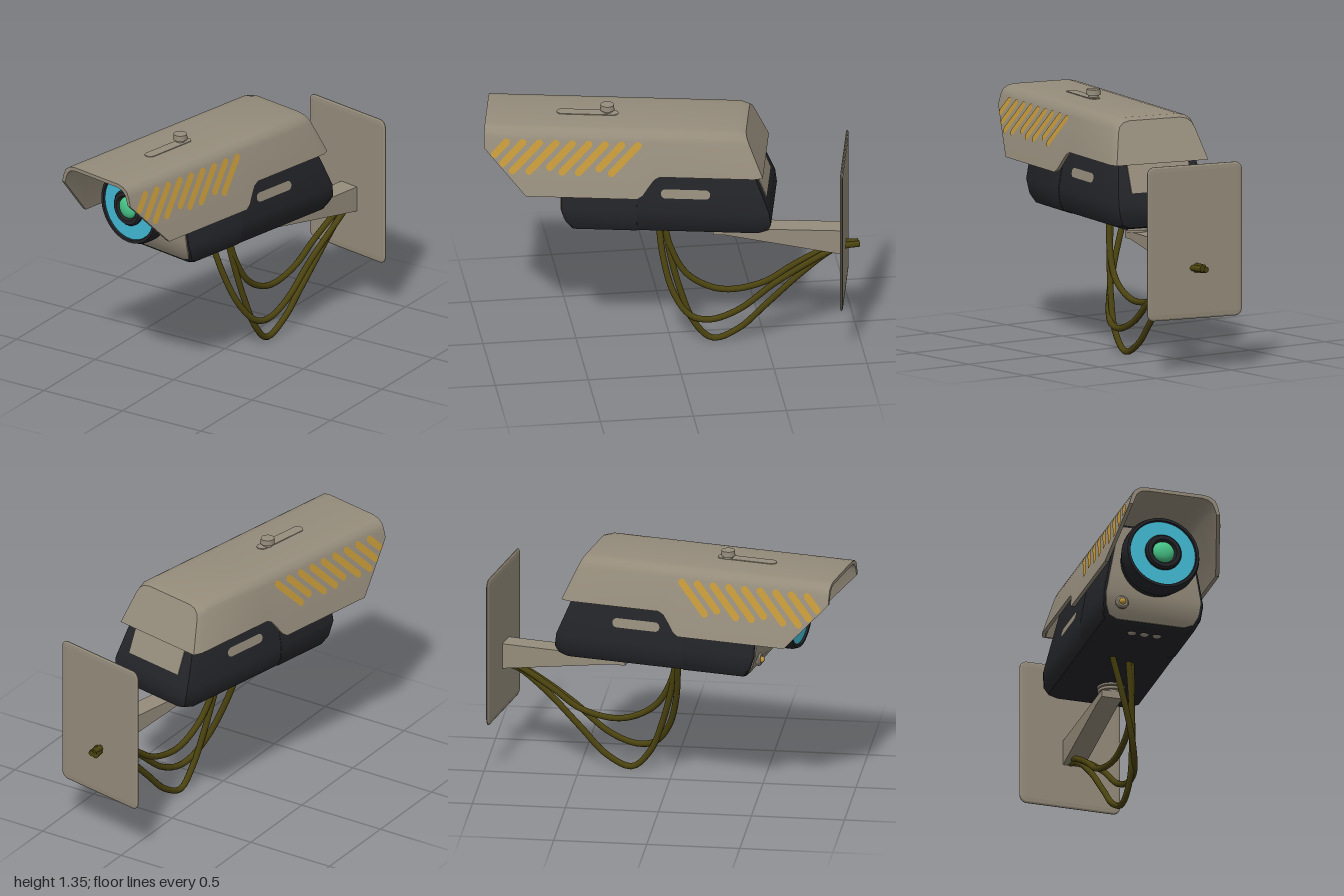
import * as THREE from 'three';
import { toCreasedNormals } from 'three/addons/utils/BufferGeometryUtils.js';

const mat = (name, color, side = THREE.FrontSide) => {
  const m = new THREE.MeshStandardMaterial({ color, side });
  m.name = name;
  return m;
};

// Closed rings of [x, y, z], counter-clockwise from the front, ordered back to front.
// Every ring is mirror-symmetric, so each cap is a strip joining point i to its twin.
function loft(rings) {
  const n = rings[0].length, idx = [];
  const quad = (a, b, c, d) => idx.push(a, b, c, a, c, d);
  for (let k = 0; k < rings.length - 1; k++)
    for (let i = 0; i < n; i++) {
      const j = (i + 1) % n;
      quad(k * n + i, k * n + j, (k + 1) * n + j, (k + 1) * n + i);
    }
  const f = (rings.length - 1) * n;
  for (let i = 0; i < n / 2 - 1; i++) {
    quad(f + i, f + i + 1, f + n - 2 - i, f + n - 1 - i);
    quad(n - 1 - i, n - 2 - i, i + 1, i);
  }
  const g = new THREE.BufferGeometry();
  g.setAttribute('position', new THREE.Float32BufferAttribute(rings.flat(2), 3));
  g.setIndex(idx);
  return toCreasedNormals(g, 0.6);
}

// Right half of a section (bottom to top) plus its mirror image
const mirrored = half => [...half, ...half.map(([x, y]) => [-x, y]).reverse()];

// Flat shape with round ends
function capsule(x0, y0, x1, y1, r) {
  const a = Math.atan2(y1 - y0, x1 - x0), q = Math.PI / 2, s = new THREE.Shape();
  s.absarc(x1, y1, r, a - q, a + q);
  s.absarc(x0, y0, r, a + q, a + 3 * q);
  return s;
}

export function createModel() {
  const tan = mat('warm grey paint', 0x958c7b);
  const black = mat('black housing', 0x242529);
  const yellow = mat('warning yellow', 0xc4983a, THREE.DoubleSide);
  const cyan = mat('cyan ring', 0x42bad4);
  const green = mat('green lens', 0x48c88a);
  const olive = mat('olive cable', 0x4a420f);
  const trim = mat('warm grey inlay', 0x958c7b, THREE.DoubleSide);

  const model = new THREE.Group();
  const unit = new THREE.Group(); // camera and mount, turned a little to the side
  unit.name = 'cameraUnit';
  unit.rotation.y = -0.192;
  model.add(unit);
  const add = (parent, name, geo, m, x = 0, y = 0, z = 0) => {
    const o = new THREE.Mesh(geo, m);
    o.name = name;
    o.position.set(x, y, z);
    parent.add(o);
    return o;
  };
  // Thin decal drawn in (z, y) and laid on a sloping side wall
  const decal = (parent, name, shape, m, wall, s) => {
    const g = new THREE.ShapeGeometry(shape, 6), p = g.attributes.position;
    for (let i = 0; i < p.count; i++) p.setXYZ(i, s * wall(p.getY(i)), p.getY(i), p.getX(i));
    if (s > 0) g.setIndex([...g.index.array].reverse());
    g.computeVertexNormals();
    add(parent, name, g, m);
  };

  // Housing body
  const section = mirrored([[0.2, 0.72], [0.25, 0.738], [0.274, 0.785], [0.28, 0.86],
    [0.255, 1.0], [0.21, 1.24], [0.18, 1.27]]);
  const scaled = s => section.map(([x, y]) => [x * s, 0.995 + (y - 0.995) * s]);
  const rear = y => (y > 0.82 ? -0.57 + (y - 0.82) * 0.4 : -0.57 + (0.82 - y) * 0.35);
  const front = y => 0.56 - Math.max(0, 0.83 - y) * 0.6;
  const at = (sec, z) => sec.map(([x, y]) => [x, y, z(y)]);
  add(unit, 'housing', loft([at(scaled(0.95), rear), at(section, y => rear(y) + 0.05),
    at(section, () => 0.16)]), black);
  add(unit, 'frontHousing', loft([at(scaled(1.008), () => 0.155), at(scaled(1.008), y => front(y) - 0.01),
    at(scaled(0.985), front)]), black);
  add(unit, 'facePlate', loft([at(scaled(0.94), y => front(y) - 0.003), at(scaled(0.94), y => front(y) + 0.006)]), tan);
  const panel = mirrored([[0.18, 0.92], [0.18, 1.12]]);
  add(unit, 'rearPanel', loft([at(panel, y => rear(y) - 0.005), at(panel, y => rear(y) + 0.003)]), tan);
  const bodyWall = y => 0.284 - (y - 0.86) * 0.183;
  for (const s of [1, -1]) decal(unit, 'sideSlot', capsule(-0.212, 0.965, 0.002, 0.965, 0.025), trim, bodyWall, s);
  for (const x of [-0.07, 0, 0.07]) {
    const lamp = add(unit, 'undersideLamp', new THREE.SphereGeometry(0.025, 16, 10), tan, x, 0.718, 0.4);
    lamp.scale.set(1, 0.5, 0.8);
  }

  // Lens barrel, ring and dome
  const turned = (pts, seg = 48) => toCreasedNormals(
    new THREE.LatheGeometry(pts.map(p => new THREE.Vector2(...p)), seg).rotateX(Math.PI / 2), 0.6);
  const lens = new THREE.Group();
  lens.name = 'lens';
  lens.position.y = 1.052;
  unit.add(lens);
  add(lens, 'lensBarrel', turned([[0.185, 0.5], [0.185, 0.61], [0.2, 0.62], [0.21, 0.66], [0.21, 0.71],
    [0.2, 0.74], [0.185, 0.74], [0.18, 0.725], [0, 0.725]]), black);
  add(lens, 'lightRing', new THREE.RingGeometry(0.098, 0.181, 48), cyan, 0, 0, 0.73);
  add(lens, 'innerRing', turned([[0.1, 0.725], [0.1, 0.745], [0.09, 0.757], [0.07, 0.757], [0.06, 0.74], [0, 0.74]]), black);
  add(lens, 'lensDome', new THREE.SphereGeometry(0.06, 32, 16), green, 0, 0, 0.74).scale.z = 0.5;

  // Indicator on the face plate
  add(unit, 'indicatorBezel', turned([[0.036, 0], [0.036, 0.012], [0.028, 0.02], [0, 0.02]], 24), tan, -0.174, 0.815, 0.55);
  add(unit, 'indicatorLight', new THREE.SphereGeometry(0.018, 16, 10), yellow, -0.174, 0.815, 0.57);

  // Sun hood: a folded sheet whose lower edge changes along its length
  const hood = new THREE.Group();
  hood.name = 'hood';
  hood.position.x = -0.01;
  unit.add(hood);
  const hoodWall = y => 0.24 + (1.25 - y) * 0.267;
  const outer = low => mirrored([[hoodWall(low), low], [0.24, 1.25], [0.227, 1.278], [0.2, 1.298], [0.16, 1.306]]);
  const inner = low => mirrored([[hoodWall(low) - 0.02, low], [0.22, 1.24], [0.209, 1.262], [0.189, 1.279], [0.155, 1.286]]);
  const sheet = low => [...outer(low), ...inner(low).reverse()];
  const slope = z => y => z - (1.306 - y) * 0.43;
  const shrink = sec => sec.map(([x, y]) => [x * 0.94, y > 1.2 ? y - 0.012 : y]);
  const stations = [[0.03, 1.07], [0.06, 1.055], [0.09, 1.015], [0.12, 0.97], [0.15, 0.95],
    [0.745, 0.95], [0.86, 1.075], [0.974, 1.2]];
  add(hood, 'hoodShell', loft([
    at(shrink(sheet(1.07)), slope(-0.415)), at(sheet(1.07), slope(-0.37)),
    ...stations.map(([z, low]) => at(sheet(low), () => z))]), tan);
  add(hood, 'hoodBack', loft([at(shrink(outer(1.07)), slope(-0.416)), at(shrink(outer(1.07)), slope(-0.405))]), tan);

  // Warning stripes on both hood sides, cut short at the slanted front edge
  for (const s of [1, -1])
    for (let i = 0; i < 9; i++) {
      const zc = 0.22 + 0.088 * i, t = Math.max(0, (zc - 0.765) / 0.284);
      const low = i % 3 === 1 ? Math.max(t, 0.15) : t;
      decal(hood, 'warningStripe', capsule(zc + 0.07 - 0.14 * low, 1.085 + 0.15 * low, zc - 0.07, 1.235, 0.019),
        yellow, y => hoodWall(y) + 0.004, s);
    }

  // Adjustment slot and knob on top of the hood
  const slot = new THREE.ExtrudeGeometry(capsule(0, -0.57, 0, -0.3, 0.03), { depth: 0.006, bevelEnabled: false });
  add(hood, 'topSlot', slot.rotateX(-Math.PI / 2), tan, 0.01, 1.304, 0);
  add(hood, 'knobStem', new THREE.CylinderGeometry(0.026, 0.026, 0.03, 24), tan, 0, 1.315, 0.33);
  add(hood, 'knob', new THREE.CylinderGeometry(0.036, 0.038, 0.03, 24), tan, 0, 1.337, 0.33);

  // Wall plate
  const plate = new THREE.Shape(), w = 0.25, h = 0.385, r = 0.01;
  plate.absarc(w - r, h - r, r, 0, Math.PI / 2);
  plate.absarc(r - w, h - r, r, Math.PI / 2, Math.PI);
  plate.absarc(r - w, r - h, r, Math.PI, Math.PI * 1.5);
  plate.absarc(w - r, r - h, r, Math.PI * 1.5, Math.PI * 2);
  add(unit, 'wallPlate', new THREE.ExtrudeGeometry(plate,
    { depth: 0.004, bevelThickness: 0.006, bevelSize: 0.03, bevelSegments: 2, curveSegments: 4 }), tan, 0.005, 0.705, -0.94);

  // Tapered arm and swivel
  const side = new THREE.Shape([[-0.24, 0.635], [-0.24, 0.675], [-0.93, 0.68], [-0.93, 0.54], [-0.86, 0.55],
    [-0.31, 0.635]].map(p => new THREE.Vector2(...p)));
  add(unit, 'arm', new THREE.ExtrudeGeometry(side, { depth: 0.115, bevelEnabled: false }).rotateY(-Math.PI / 2), tan, 0.08);
  [[0.055, 0.67, 0.69], [0.072, 0.688, 0.703], [0.058, 0.7, 0.712], [0.075, 0.71, 0.726]].forEach(([rad, y0, y1]) =>
    add(unit, 'swivelDisc', new THREE.CylinderGeometry(rad, rad, y1 - y0, 32), tan, 0.035, (y0 + y1) / 2, -0.3));

  // Hanging cables from the housing to the wall plate
  const cables = [
    [[0.02, 0.74, 0.04], [0.06, 0.5, 0.0], [0.09, 0.3, -0.05], [0.115, 0.12, -0.12], [0.125, 0.022, -0.22],
      [0.14, 0.08, -0.36], [0.16, 0.22, -0.5], [0.185, 0.42, -0.7], [0.19, 0.54, -0.86], [0.165, 0.56, -1.0]],
    [[-0.09, 0.74, 0.055], [0.01, 0.45, 0.03], [0.08, 0.27, -0.02], [0.13, 0.165, -0.1], [0.15, 0.145, -0.2],
      [0.165, 0.2, -0.35], [0.185, 0.36, -0.55], [0.205, 0.52, -0.8], [0.2, 0.56, -0.9], [0.19, 0.565, -1.0]],
    [[0.035, 0.74, 0.04], [0.06, 0.55, 0.0], [0.085, 0.4, -0.08], [0.1, 0.32, -0.2], [0.11, 0.298, -0.32],
      [0.125, 0.34, -0.5], [0.145, 0.44, -0.65], [0.17, 0.54, -0.82], [0.175, 0.57, -0.9], [0.178, 0.572, -0.995]],
  ];
  for (const pts of cables) {
    const curve = new THREE.CatmullRomCurve3(pts.map(p => new THREE.Vector3(...p)));
    add(model, 'cable', new THREE.TubeGeometry(curve, 60, 0.017, 10), olive);
    const end = add(model, 'cableEnd', new THREE.CircleGeometry(0.017, 10), olive, ...pts[pts.length - 1]);
    end.rotation.y = Math.PI;
  }
  return model;
}
